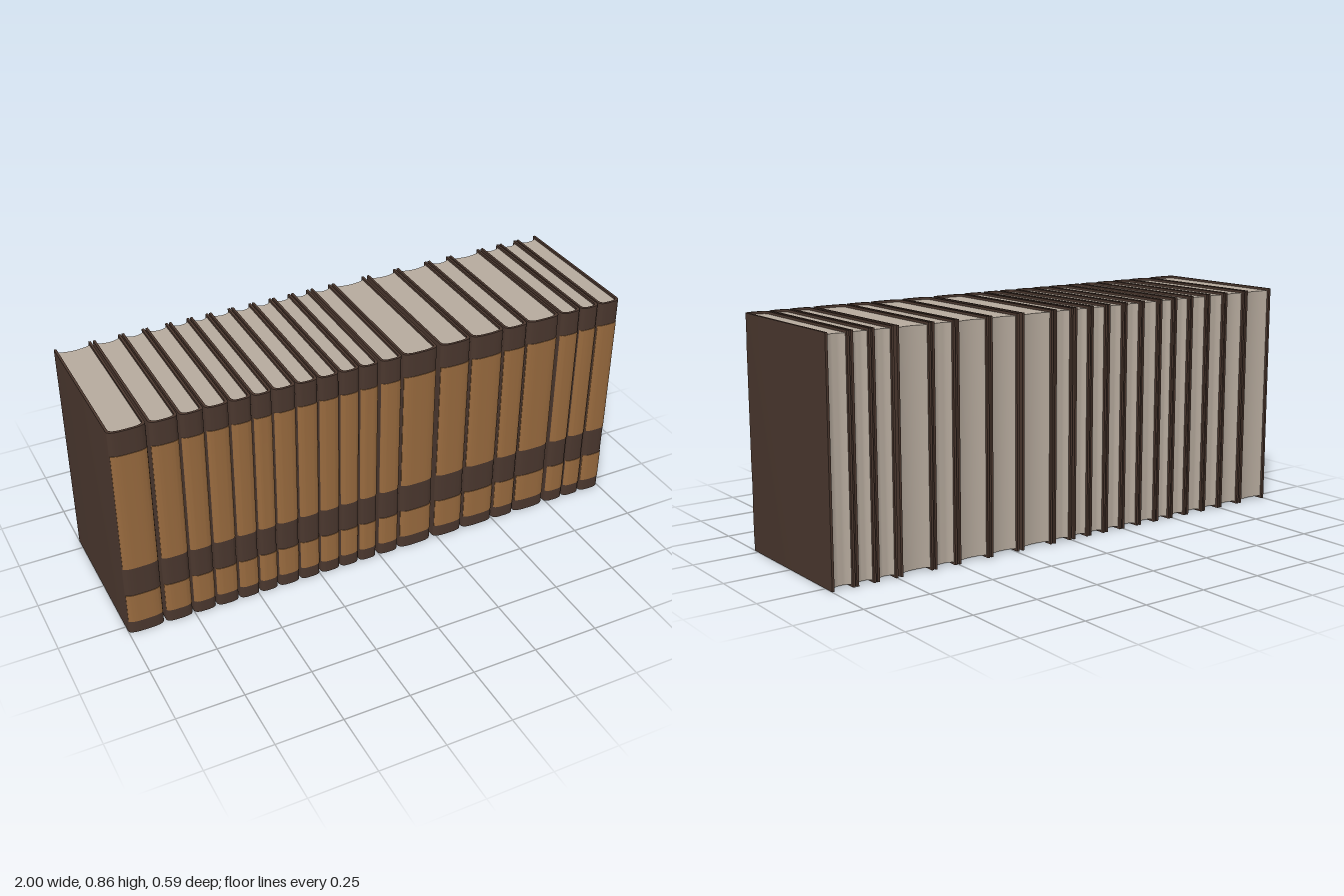
import * as THREE from 'three';
import { toCreasedNormals } from 'three/addons/utils/BufferGeometryUtils.js';

const HEIGHT = 0.862, BACK = -0.295, SHOULDER = 0.272, BULGE = 0.021, BOARD = 0.009;

// left and right edge of every volume in the row
const BOOKS = [
  [-1, -0.865], [-0.857, -0.755], [-0.75, -0.665], [-0.66, -0.575], [-0.57, -0.493],
  [-0.488, -0.418], [-0.413, -0.33], [-0.325, -0.247], [-0.242, -0.165], [-0.16, -0.087],
  [-0.082, -0.011], [-0.001, 0.081], [0.088, 0.224], [0.238, 0.36], [0.367, 0.498],
  [0.505, 0.597], [0.602, 0.735], [0.746, 0.827], [0.832, 0.907], [0.912, 1],
];
// bottom and top of the tan leather fields on each spine
const PANELS = [[0.05, 0.17], [0.29, 0.768]];

// rounded spine curve in plan, from +x to -x, as [x, z]
function spineCurve(halfWidth, inset = 0, start = 0, lift = 0) {
  const pts = [], n = 20;
  for (let i = 0; i <= n; i++) {
    const a = start + (Math.PI - 2 * start) * i / n;
    const c = Math.cos(a), s = Math.max(0, Math.sin(a));
    pts.push([
      Math.sign(c) * Math.abs(c) ** 0.6 * (halfWidth - inset),
      SHOULDER - inset + BULGE * s ** 0.8 + lift,
    ]);
  }
  return pts;
}

// raises a plan outline from y0 to y1
function raise(outline, y0, y1) {
  const shape = new THREE.Shape(outline.map(([x, z]) => new THREE.Vector2(x, -z)));
  const geo = new THREE.ExtrudeGeometry(shape, { depth: y1 - y0, bevelEnabled: false });
  geo.rotateX(-Math.PI / 2).translate(0, y0, 0);
  return toCreasedNormals(geo, 0.6);
}

export function createModel() {
  const material = (name, color) => {
    const m = new THREE.MeshStandardMaterial({ color });
    m.name = name;
    return m;
  };
  const dark = material('dark leather', 0x4a372e);
  const tan = material('tan leather', 0x986a3e);
  const paper = material('paper', 0xb6aa9d);

  const group = new THREE.Group();
  group.name = 'bookRow';

  BOOKS.forEach(([left, right], i) => {
    const book = new THREE.Group();
    book.name = `book${i + 1}`;
    book.position.x = (left + right) / 2;
    const w = (right - left) / 2, inner = w - BOARD;
    const add = (name, geo, mat) => {
      const mesh = new THREE.Mesh(geo, mat);
      mesh.name = name;
      book.add(mesh);
    };

    // two boards joined by the curved spine
    const inside = spineCurve(w, BOARD);
    add('cover', raise([
      [w, BACK], ...spineCurve(w), [-w, BACK],
      [-inner, BACK], ...inside.slice().reverse(), [inner, BACK],
    ], 0, HEIGHT), dark);

    // page block with a hollow fore edge
    const foreEdge = [];
    for (let k = 0; k <= 8; k++) {
      const t = k / 4 - 1;
      foreEdge.push([t * inner, -0.285 + 0.011 * (1 - t * t)]);
    }
    add('pages', raise([...inside, ...foreEdge], 0.009, HEIGHT - 0.009), paper);

    // thin tan fields wrapped over the spine
    const face = spineCurve(w, 0, 0.4, 0.002);
    const under = spineCurve(w, 0, 0.4, -0.002).reverse();
    for (const [y0, y1] of PANELS) add('spinePanel', raise([...face, ...under], y0, y1), tan);

    group.add(book);
  });
  return group;
}
